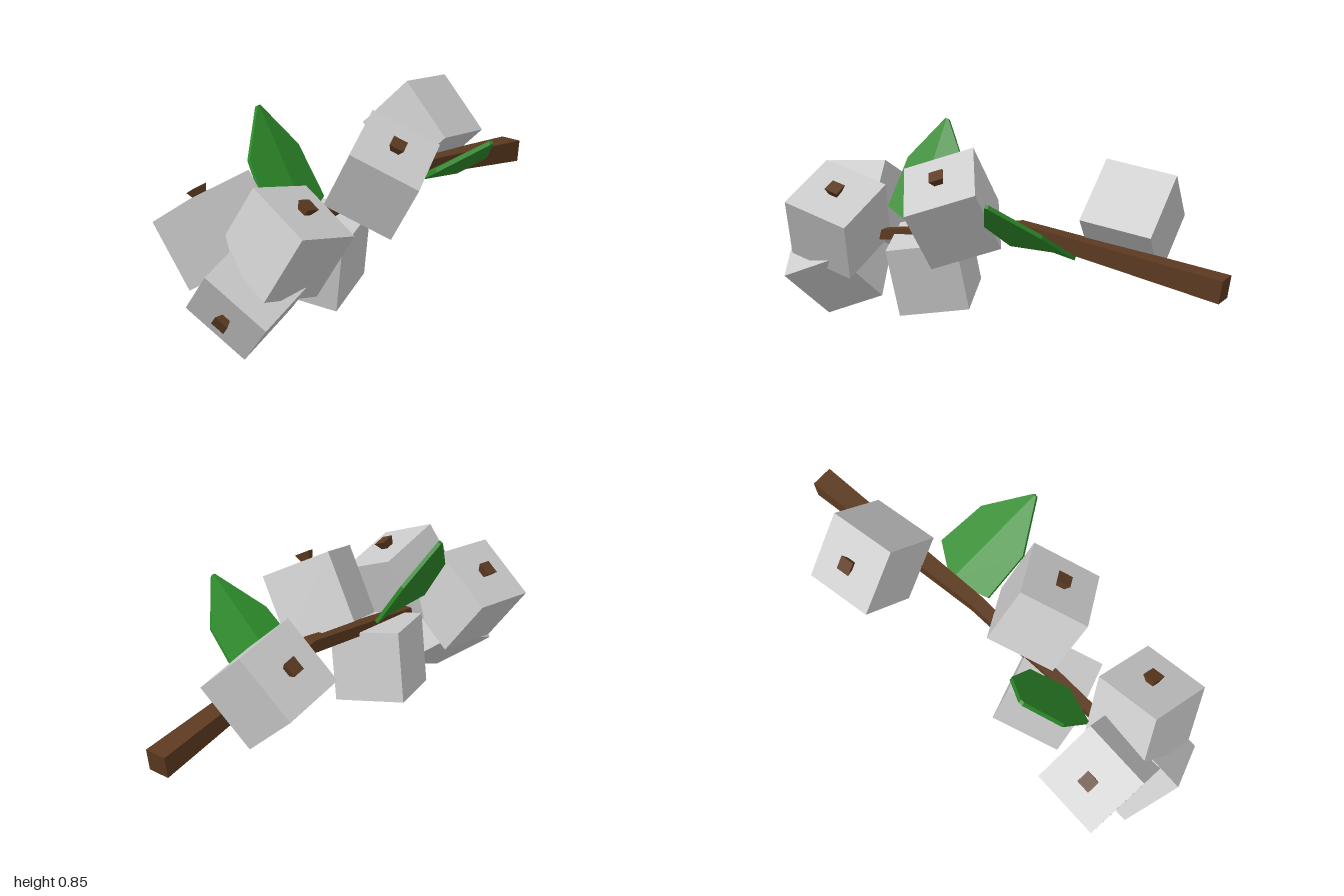
import * as THREE from 'three';

const V = (a) => new THREE.Vector3(...a);
const EDGE = 0.3;

const fruitMat = new THREE.MeshStandardMaterial({ color: 0xcccccc, flatShading: true });
const woodMat = new THREE.MeshStandardMaterial({ color: 0x5c3a20 });
const leafMat = new THREE.MeshStandardMaterial({ color: 0x2e8b2a });

function add(parent, name, geometry, material) {
  const mesh = new THREE.Mesh(geometry, material);
  mesh.name = name;
  parent.add(mesh);
  return mesh;
}

// Turns an object so its local y follows `up` and its local x follows `side`
function orient(object, up, side) {
  const y = V(up).normalize();
  const z = V(side).cross(y).normalize();
  const x = y.clone().cross(z);
  object.quaternion.setFromRotationMatrix(new THREE.Matrix4().makeBasis(x, y, z));
}

// Cube-shaped berry with a small flared stub on its outer face
function makeBerry({ centre, out, side }) {
  const berry = new THREE.Group();
  berry.name = 'berry';
  add(berry, 'berryBody', new THREE.BoxGeometry(EDGE, EDGE, EDGE), fruitMat);
  const stubGeo = new THREE.CylinderGeometry(0.043, 0.024, 0.04, 4).toNonIndexed();
  stubGeo.rotateY(Math.PI / 4);
  stubGeo.computeVertexNormals();
  add(berry, 'berryStub', stubGeo, woodMat).position.y = EDGE / 2 + 0.015;
  orient(berry, out, side);
  berry.position.set(...centre);
  return berry;
}

// Six-cornered leaf, folded along its middle, running from base to tip
function makeLeaf({ base, tip, side }) {
  const leaf = new THREE.Group();
  leaf.name = 'leaf';
  const along = V(tip).sub(V(base));
  const length = along.length();
  for (const s of [-1, 1]) {
    const half = new THREE.Shape([
      new THREE.Vector2(0, 0),
      new THREE.Vector2(s * 0.16, 0.07),
      new THREE.Vector2(s * 0.14, 0.3),
      new THREE.Vector2(s * 0.008, length),
      new THREE.Vector2(0, length),
    ]);
    const geo = new THREE.ExtrudeGeometry(half, { depth: 0.016, bevelEnabled: false });
    const p = geo.attributes.position;
    for (let i = 0; i < p.count; i++) p.setZ(i, p.getZ(i) - 0.008 - 0.17 * Math.abs(p.getX(i)));
    geo.computeVertexNormals();
    add(leaf, s < 0 ? 'leafHalfA' : 'leafHalfB', geo, leafMat);
  }
  orient(leaf, along.toArray(), side);
  leaf.position.set(...base);
  return leaf;
}

// Bent, tapering square branch lofted through [y, z, half width, tilt]
function makeBranch() {
  const rings = [
    [0.366, -0.985, 0.047, 0.15],
    [0.497, -0.1, 0.028, 0],
    [0.37, 0.68, 0.02, -0.16],
  ].map(([y, z, r, t]) =>
    [[-1, -1], [1, -1], [1, 1], [-1, 1]].map(([a, b]) =>
      [-0.031 + a * r, y + b * r * Math.cos(t), z - b * r * Math.sin(t)]));
  const pos = [];
  const quad = (a, b, c, d) => pos.push(...a, ...b, ...c, ...a, ...c, ...d);
  for (let k = 0; k < rings.length - 1; k++) {
    for (let i = 0; i < 4; i++) {
      const j = (i + 1) % 4;
      quad(rings[k][i], rings[k][j], rings[k + 1][j], rings[k + 1][i]);
    }
  }
  quad(...[...rings[0]].reverse());
  quad(...rings[rings.length - 1]);
  const geo = new THREE.BufferGeometry();
  geo.setAttribute('position', new THREE.Float32BufferAttribute(pos, 3));
  geo.computeVertexNormals();
  return geo;
}

export function createModel() {
  const model = new THREE.Group();
  model.name = 'berryBranch';

  add(model, 'branch', makeBranch(), woodMat);

  // Berries: centre, outward axis through the stub, one edge direction
  const berries = [
    { centre: [-0.185, 0.56, -0.53], out: [-0.21, 0.2, -0.015], side: [0.015, 0.045, 0.295] },
    { centre: [0.115, 0.585, 0.133], out: [0.16, 0.25, 0.03], side: [0.1, -0.095, 0.265] },
    { centre: [0.1, 0.468, 0.692], out: [0.135, 0.26, -0.065], side: [0.27, -0.125, 0.035] },
    { centre: [-0.204, 0.456, 0.732], out: [-0.165, 0.245, 0.018], side: [0.252, 0.163, 0.04] },
    { centre: [-0.018, 0.258, 0.77], out: [0, -0.117, 0.27], side: [0.225, -0.18, -0.08] },
    { centre: [-0.058, 0.276, 0.32], out: [-0.058, -0.293, -0.03], side: [0.086, -0.045, 0.275] },
  ];
  berries.forEach((b) => model.add(makeBerry(b)));

  // Leaves, with the ridge on the side facing up
  const leaves = [
    { base: [-0.01, 0.43, -0.262], tip: [0.415, 0.7, -0.185], side: [-0.08, -0.02, 0.245] },
    { base: [-0.037, 0.44, 0.41], tip: [-0.302, 0.853, 0.39], side: [0, 0, -1] },
  ];
  leaves.forEach((l) => model.add(makeLeaf(l)));

  return model;
}
